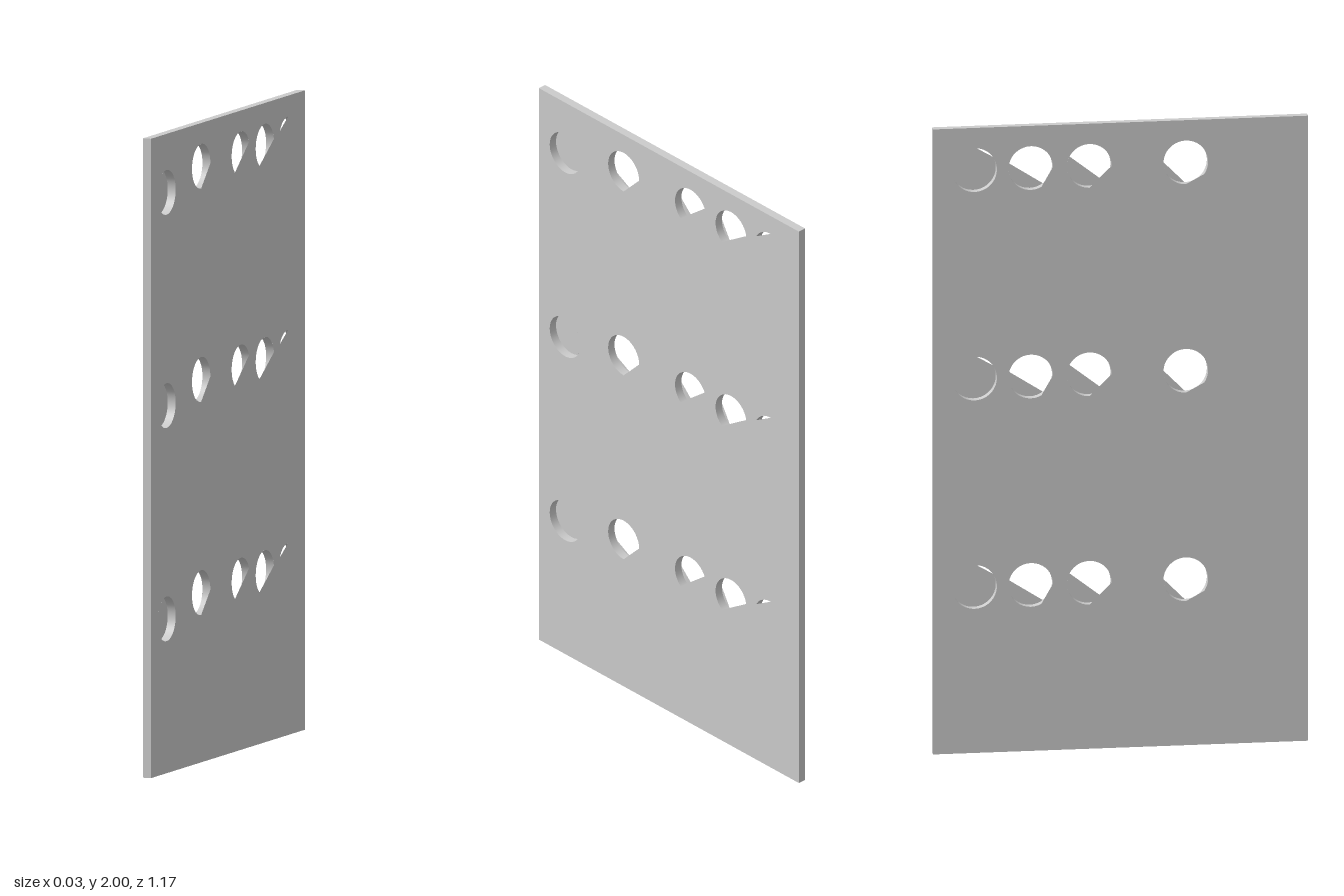
import * as THREE from 'three';

const HALF_T = 0.0135, HALF_W = 0.587, HEIGHT = 2, R = 0.07;
const ROWS = [0, 0.667, 1.334];
const FULL = [0, 350];

// Each hole: z, y in the lowest row, and the open arc (degrees) on the +x and -x
// faces; a chord closes the arc and the rest of the circle stays covered.
const HOLES = [
  { z: 0.468, y: 0.483, front: FULL, back: null },
  { z: 0.204, y: 0.531, front: [0, 270], back: [-90, 214] },
  { z: -0.098, y: 0.531, front: [25, 230], back: [-90, 182] },
  { z: -0.281, y: 0.531, front: [11, 234], back: [-118, 178] },
  { z: -0.457, y: 0.531, front: [88, 152], back: FULL },
];

// Outline of an opening: an arc closed by its chord (side mirrors it for the -x face)
function opening(hole, y, arc, side) {
  const pts = [], n = 36;
  for (let i = 0; i <= n; i++) {
    const a = THREE.MathUtils.degToRad(arc[0] + (arc[1] - arc[0]) * i / n);
    pts.push(new THREE.Vector2(side * (-hole.z + R * Math.cos(a)), y + R * Math.sin(a)));
  }
  return new THREE.Path(pts);
}

export function createModel() {
  const group = new THREE.Group();
  const material = new THREE.MeshStandardMaterial({ color: 0xcccccc, side: THREE.DoubleSide });
  const add = (name, geometry) => {
    const mesh = new THREE.Mesh(geometry, material);
    mesh.name = name;
    group.add(mesh);
    return mesh;
  };

  // Two large faces with their openings
  for (const side of [1, -1]) {
    const shape = new THREE.Shape([
      new THREE.Vector2(-HALF_W, 0), new THREE.Vector2(HALF_W, 0),
      new THREE.Vector2(HALF_W, HEIGHT), new THREE.Vector2(-HALF_W, HEIGHT),
    ]);
    for (const hole of HOLES) {
      const arc = side > 0 ? hole.front : hole.back;
      if (arc) for (const dy of ROWS) shape.holes.push(opening(hole, hole.y + dy, arc, side));
    }
    const face = add(side > 0 ? 'leftFace' : 'rightFace', new THREE.ShapeGeometry(shape));
    face.rotation.y = side * Math.PI / 2;
    face.position.x = side * HALF_T;
  }

  // Narrow edges around the panel
  for (const side of [1, -1]) {
    const upright = add(side > 0 ? 'frontEdge' : 'backEdge', new THREE.PlaneGeometry(2 * HALF_T, HEIGHT));
    upright.position.set(0, HEIGHT / 2, side * HALF_W);
    if (side < 0) upright.rotation.y = Math.PI;
    const level = add(side > 0 ? 'topEdge' : 'bottomEdge', new THREE.PlaneGeometry(2 * HALF_T, 2 * HALF_W));
    level.rotation.x = -side * Math.PI / 2;
    level.position.y = side > 0 ? HEIGHT : 0;
  }

  // Round walls inside the holes
  for (const hole of HOLES) {
    for (const dy of ROWS) {
      const wall = add('holeWall', new THREE.CylinderGeometry(R, R, 2 * HALF_T, 36, 1, true));
      wall.rotation.z = Math.PI / 2;
      wall.position.set(0, hole.y + dy, hole.z);
    }
  }
  return group;
}
